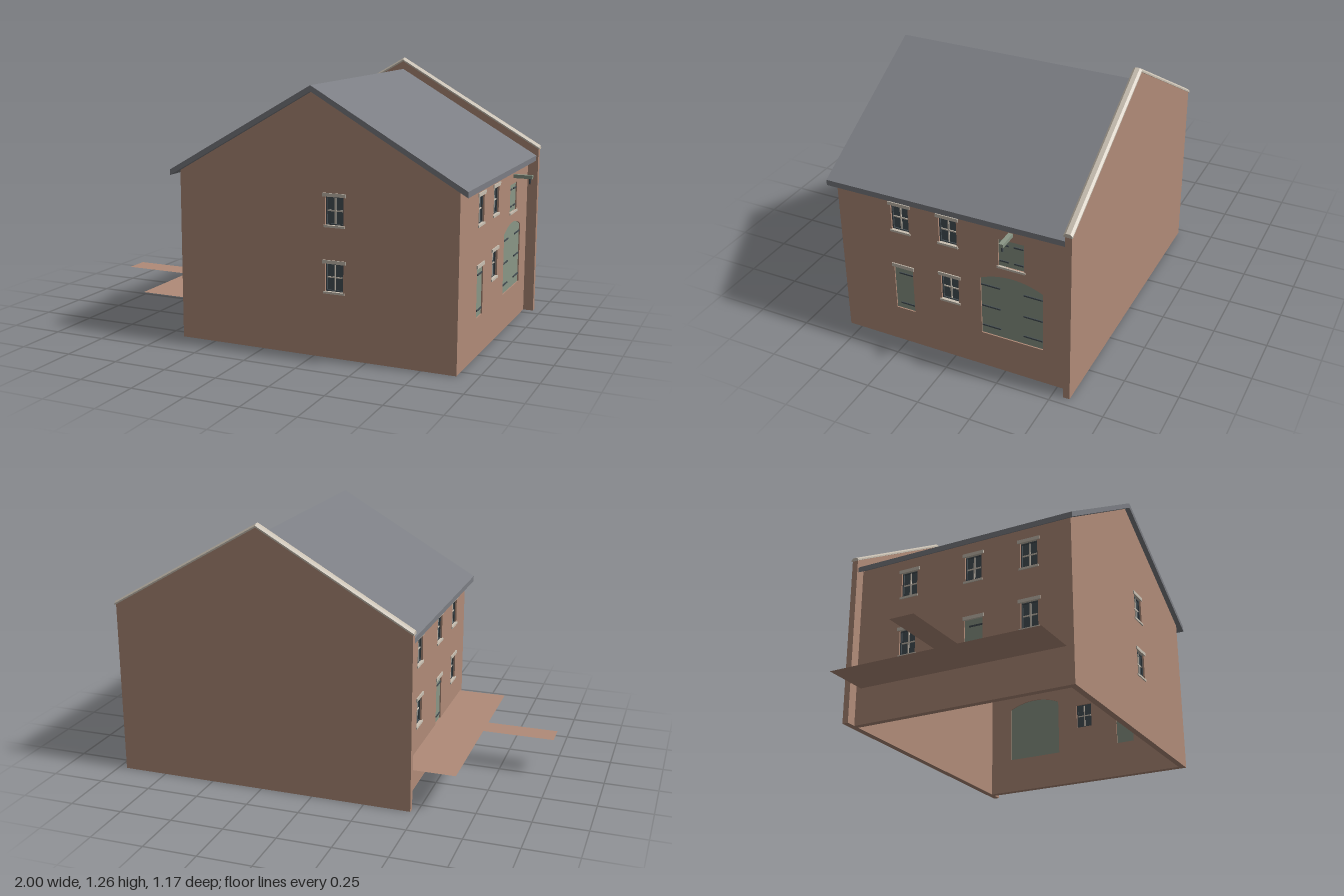
import * as THREE from 'three';

const mat = (name, color) => Object.assign(new THREE.MeshStandardMaterial({ color }), { name });

export function createModel() {
  const brick = mat('brick', 0xb08b78);
  const paving = mat('paving', 0xb08b78);
  paving.side = THREE.DoubleSide;
  const slate = mat('slate', 0x7b7d83);
  const stone = mat('stone', 0xc9c0b2);
  const paint = mat('greenPaint', 0x8a9686);
  const iron = mat('iron', 0x444d52);
  const glass = mat('glass', 0x465157);

  const model = new THREE.Group();
  model.name = 'warehouse';
  const RIDGE = 0.245, SLOPE = 0.578;

  const add = (parent, name, geo, material) => {
    const m = new THREE.Mesh(geo, material);
    m.name = name;
    parent.add(m);
    return m;
  };
  // Box given by its centre and size
  const box = (parent, name, material, x, y, z, w, h, d) => {
    const m = add(parent, name, new THREE.BoxGeometry(w, h, d), material);
    m.position.set(x, y, z);
    return m;
  };
  const polygon = (pts) => new THREE.Shape(pts.map((p) => new THREE.Vector2(p[0], p[1])));
  // Extrusion between two depths
  const slab = (shape, z0, z1) =>
    new THREE.ExtrudeGeometry(shape, { depth: z1 - z0, bevelEnabled: false, curveSegments: 14 }).translate(0, 0, z0);
  // Rectangle whose top edge may bow upwards
  const opening = (u, v0, w, h, rise = 0) => {
    const s = new THREE.Shape();
    s.moveTo(u - w / 2, v0);
    s.lineTo(u + w / 2, v0);
    s.lineTo(u + w / 2, v0 + h);
    if (rise) s.quadraticCurveTo(u, v0 + h + rise * 2, u - w / 2, v0 + h);
    else s.lineTo(u - w / 2, v0 + h);
    s.closePath();
    return s;
  };
  const gable = (x0, x1, eave, top) => polygon([[x0, 0], [x1, 0], [x1, eave], [RIDGE, top], [x0, eave]]);

  // Facade: local x runs along the wall, local z points outwards
  const facade = (name, outline) => {
    const g = new THREE.Group();
    g.name = name;
    model.add(g);
    return { g, outline };
  };
  const hole = (f, s) => f.outline.holes.push(s);
  const finish = (f) => add(f.g, 'wall', slab(f.outline, -0.03, 0), brick);

  const addWindow = (f, u, v0) => {
    const w = 0.086, h = 0.127, v = v0 + h / 2;
    hole(f, opening(u, v0, w, h));
    const g = new THREE.Group();
    g.name = 'window';
    f.g.add(g);
    box(g, 'pane', glass, u, v, -0.018, w, h, 0.006);
    for (const s of [-1, 1]) {
      box(g, 'frameSide', iron, u + s * (w / 2 - 0.003), v, -0.015, 0.006, h, 0.014);
      box(g, 'frameRail', iron, u, v + s * (h / 2 - 0.003), -0.015, w, 0.006, 0.012);
    }
    box(g, 'mullion', stone, u, v, -0.017, 0.006, h - 0.012, 0.014);
    box(g, 'glazingBar', stone, u, v, -0.017, w - 0.012, 0.006, 0.012);
    box(g, 'lintel', stone, u, v0 + h + 0.007, -0.007, 0.11, 0.016, 0.024);
    box(g, 'sill', stone, u, v0 - 0.004, -0.007, 0.1, 0.01, 0.024);
  };

  const addDoor = (f, name, u, v0, w, h, rise, hinges) => {
    hole(f, opening(u, v0, w, h, rise));
    const g = new THREE.Group();
    g.name = name;
    f.g.add(g);
    add(g, 'leaf', slab(opening(u, v0, w, h, rise), -0.024, -0.006), paint);
    for (const [hu, hv, hw] of hinges) box(g, 'strapHinge', iron, u + hu, hv, -0.005, hw, 0.007, 0.006);
    return g;
  };
  const pairs = (heights, offset, width) =>
    heights.flatMap((v) => [[-offset, v, width], [offset, v, width]]);
  const addEntrance = (f, u, side) => {
    const g = addDoor(f, 'door', u, 0.178, 0.094, 0.226, 0, [[side * 0.011, 0.37, 0.07], [side * 0.011, 0.208, 0.07]]);
    box(g, 'lintel', stone, u, 0.411, -0.007, 0.11, 0.017, 0.024);
  };

  const UPPER = 0.596, LOWER = 0.3;

  // Front gable
  const front = facade('frontGable', gable(-0.42, 0.91, 0.789, 1.174));
  front.g.position.z = 0.56;
  for (const v of [UPPER, LOWER]) addWindow(front, 0.348, v);
  finish(front);

  // Street side with loading doors
  const street = facade('streetSide', polygon([[-0.53, 0], [0.55, 0], [0.55, 0.789], [-0.53, 0.789]]));
  street.g.rotation.y = Math.PI / 2;
  street.g.position.x = 0.91;
  addWindow(street, -0.25, UPPER);
  addWindow(street, -0.015, UPPER);
  addWindow(street, -0.015, LOWER);
  addEntrance(street, -0.248, 1 / 1.1);
  addDoor(street, 'archedDoor', 0.284, 0.178, 0.294, 0.292, 0.034, pairs([0.435, 0.325, 0.22], 0.1, 0.09));
  const hatch = addDoor(street, 'loadingHatch', 0.285, 0.557, 0.12, 0.134, 0, pairs([0.665, 0.583], 0.034, 0.044));
  box(hatch, 'sill', stone, 0.285, 0.552, -0.007, 0.132, 0.01, 0.024);
  // Hoist beam and hook above the hatch
  box(hatch, 'hoistBeam', paint, 0.285, 0.727, 0.035, 0.02, 0.017, 0.11);
  box(hatch, 'hoistHook', iron, 0.285, 0.706, 0.077, 0.007, 0.026, 0.007);
  finish(street);

  // Quay side
  const quay = facade('quaySide', polygon([[-0.55, 0], [0.53, 0], [0.53, 0.789], [-0.55, 0.789]]));
  quay.g.rotation.y = -Math.PI / 2;
  quay.g.position.x = -0.42;
  for (const u of [-0.28, 0.065, 0.35]) addWindow(quay, u, UPPER);
  for (const u of [-0.28, 0.35]) addWindow(quay, u, LOWER);
  addEntrance(quay, 0.07, 1);
  finish(quay);

  // Back parapet gable
  add(model, 'parapetGable', slab(gable(-0.47, 0.96, 0.828, 1.241), -0.58, -0.55), brick);

  // Coping: a chamfered section swept down each slope
  const section = polygon([[-0.02, 1.24], [0.02, 1.24], [0.02, 1.248], [0.01, 1.257], [-0.01, 1.257], [-0.02, 1.248]]);
  for (const s of [-1, 1]) {
    const geo = slab(section, 0, 0.72);
    const p = geo.attributes.position;
    for (let i = 0; i < p.count; i++) {
      const a = p.getX(i), b = p.getY(i), c = p.getZ(i);
      p.setXYZ(i, RIDGE + s * c, b - c * SLOPE, -0.565 - s * a);
    }
    geo.computeVertexNormals();
    add(model, 'coping', geo, stone);
  }

  // Roof
  const roof = polygon([
    [-0.46, 0.767], [RIDGE, 1.174], [0.95, 0.767],
    [0.95, 0.793], [RIDGE, 1.2], [-0.46, 0.793],
  ]);
  add(model, 'roof', slab(roof, -0.55, 0.585), slate);

  // Landing and gangway
  const deck = (name, x0, x1, z0, z1) => {
    const geo = new THREE.PlaneGeometry(x1 - x0, z1 - z0).rotateX(-Math.PI / 2);
    add(model, name, geo, paving).position.set((x0 + x1) / 2, 0.178, (z0 + z1) / 2);
  };
  deck('landing', -0.66, -0.42, -0.525, 0.525);
  deck('gangway', -1, -0.66, 0.018, 0.132);

  return model;
}
